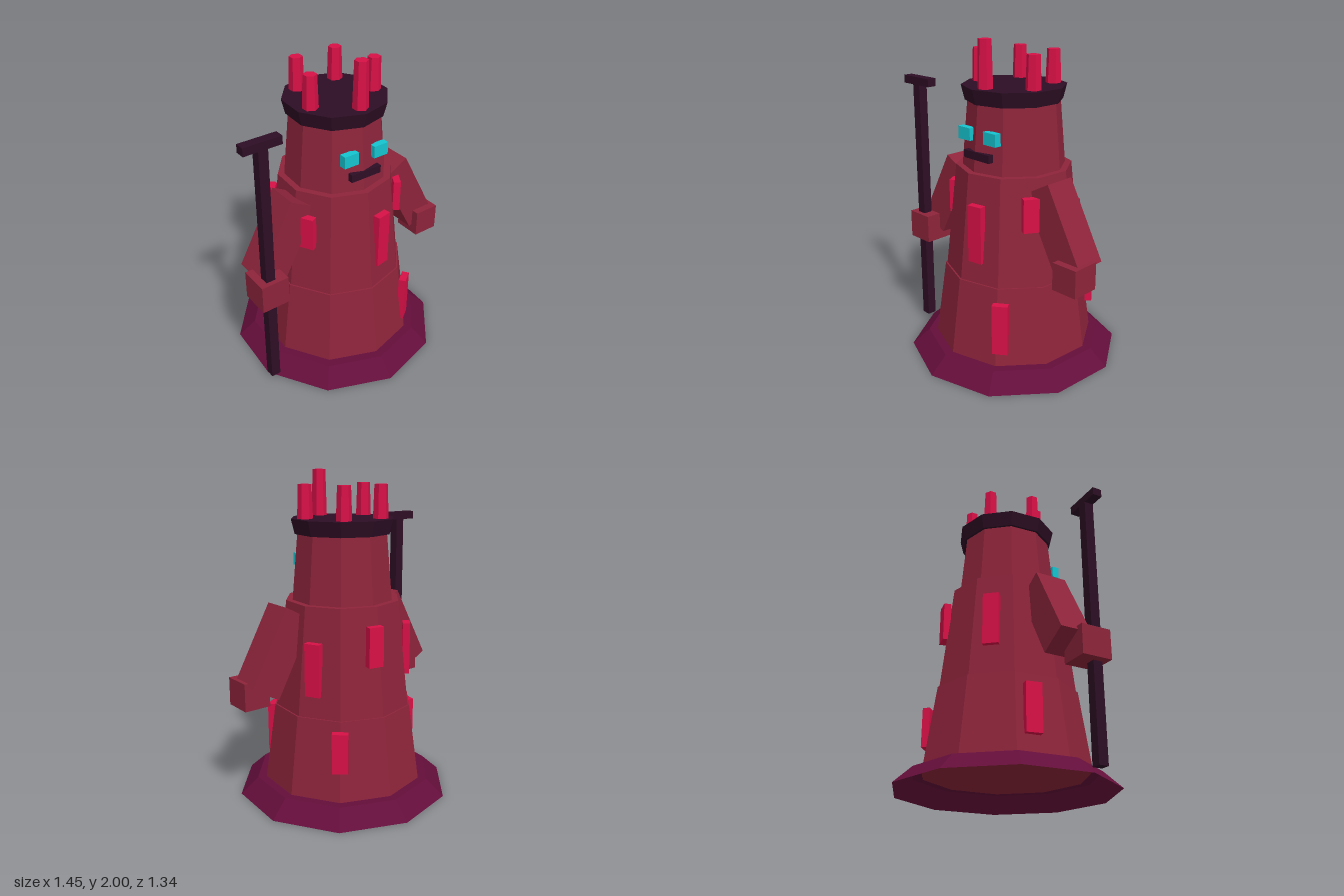
import * as THREE from 'three';

const paint = (name, color) => {
  const m = new THREE.MeshStandardMaterial({ color, flatShading: true });
  m.name = name;
  return m;
};

export function createModel() {
  const model = new THREE.Group();
  model.name = 'towerFigure';
  const stone = paint('stoneRed', 0x8e243b);
  const plum = paint('plum', 0x640e3b);
  plum.side = THREE.DoubleSide;
  const dark = paint('darkPlum', 0x2d0e24);
  const crimson = paint('crimson', 0xd81047);
  const cyan = paint('cyan', 0x14c4d0);

  const CX = 0.03; // axis of the tower
  const TWIST = THREE.MathUtils.degToRad(-4);

  const add = (parent, name, geometry, material, x, y, z) => {
    const mesh = new THREE.Mesh(geometry, material);
    mesh.name = name;
    mesh.position.set(x, y, z);
    parent.add(mesh);
    return mesh;
  };
  const box = (name, mat, w, h, d, x, y, z, parent = model) =>
    add(parent, name, new THREE.BoxGeometry(w, h, d), mat, x, y, z);

  // Ten-sided tower sections: bottom y, top y, bottom radius, top radius
  const tier = (name, mat, y0, y1, r0, r1) => {
    const mesh = add(model, name, new THREE.CylinderGeometry(r1, r0, y1 - y0, 10), mat, CX, (y0 + y1) / 2, 0);
    mesh.rotation.y = TWIST;
  };
  tier('lowerBody', stone, 0.1, 0.58, 0.505, 0.437);
  tier('upperBody', stone, 0.58, 1.235, 0.427, 0.355);
  tier('head', stone, 1.235, 1.63, 0.315, 0.28);
  tier('crownBand', dark, 1.63, 1.72, 0.295, 0.317);

  // Hollow flared foot with a flat rim
  const profile = [[0.67, 0], [0.56, 0.1], [0.5, 0.1]].map(([r, y]) => new THREE.Vector2(r, y));
  add(model, 'base', new THREE.LatheGeometry(profile, 10), plum, CX, 0, 0).rotation.y = TWIST;

  // Crown spikes, the front one taller
  for (let i = 0; i < 5; i++) {
    const a = (i * Math.PI * 2) / 5;
    const h = i === 0 ? 0.28 : 0.2;
    add(model, 'crownSpike', new THREE.CylinderGeometry(0.04, 0.047, h, 6), crimson,
      CX + 0.235 * Math.sin(a), 1.72 + h / 2, 0.235 * Math.cos(a));
  }

  // Face
  for (const s of [-1, 1]) box('eye', cyan, 0.1, 0.075, 0.045, CX - 0.003 + s * 0.106, 1.452, 0.285);
  box('mouth', dark, 0.21, 0.048, 0.035, CX - 0.003, 1.333, 0.293);

  // Raised bricks: angle from the front, radius, bottom y, top y
  const bricks = [
    [10, 0.386, 0.71, 1.065],
    [35, 0.477, 0.18, 0.5],
    [59, 0.386, 0.925, 1.13],
    [116, 0.389, 0.71, 1.03],
    [140, 0.485, 0.285, 0.53],
    [170, 0.394, 0.89, 1.13],
    [229, 0.395, 0.76, 1.08],
    [259, 0.482, 0.215, 0.5],
    [-61, 0.388, 0.89, 1.1],
  ];
  for (const [deg, r, y0, y1] of bricks) {
    const a = THREE.MathUtils.degToRad(deg);
    box('brick', crimson, 0.095, y1 - y0, 0.045,
      CX + r * Math.sin(a), (y0 + y1) / 2, r * Math.cos(a)).rotation.y = a;
  }

  // Arms slope outwards on both sides
  for (const s of [-1, 1]) {
    const arm = box(s > 0 ? 'leftArm' : 'rightArm', stone, 0.2, 0.515, 0.2, CX + s * 0.467, 0.954, 0.07);
    arm.rotation.z = s * THREE.MathUtils.degToRad(28.5);
  }
  box('leftHand', stone, 0.17, 0.17, 0.18, 0.637, 0.713, 0.127);
  box('rightHand', stone, 0.18, 0.18, 0.19, -0.594, 0.71, 0.175);

  // Staff with a crossbar
  const staff = new THREE.Group();
  staff.name = 'staff';
  model.add(staff);
  box('staffPole', dark, 0.06, 1.62, 0.06, -0.606, 0.85, 0.21, staff);
  box('staffCrossbar', dark, 0.24, 0.05, 0.06, -0.606, 1.685, 0.21, staff);

  return model;
}
